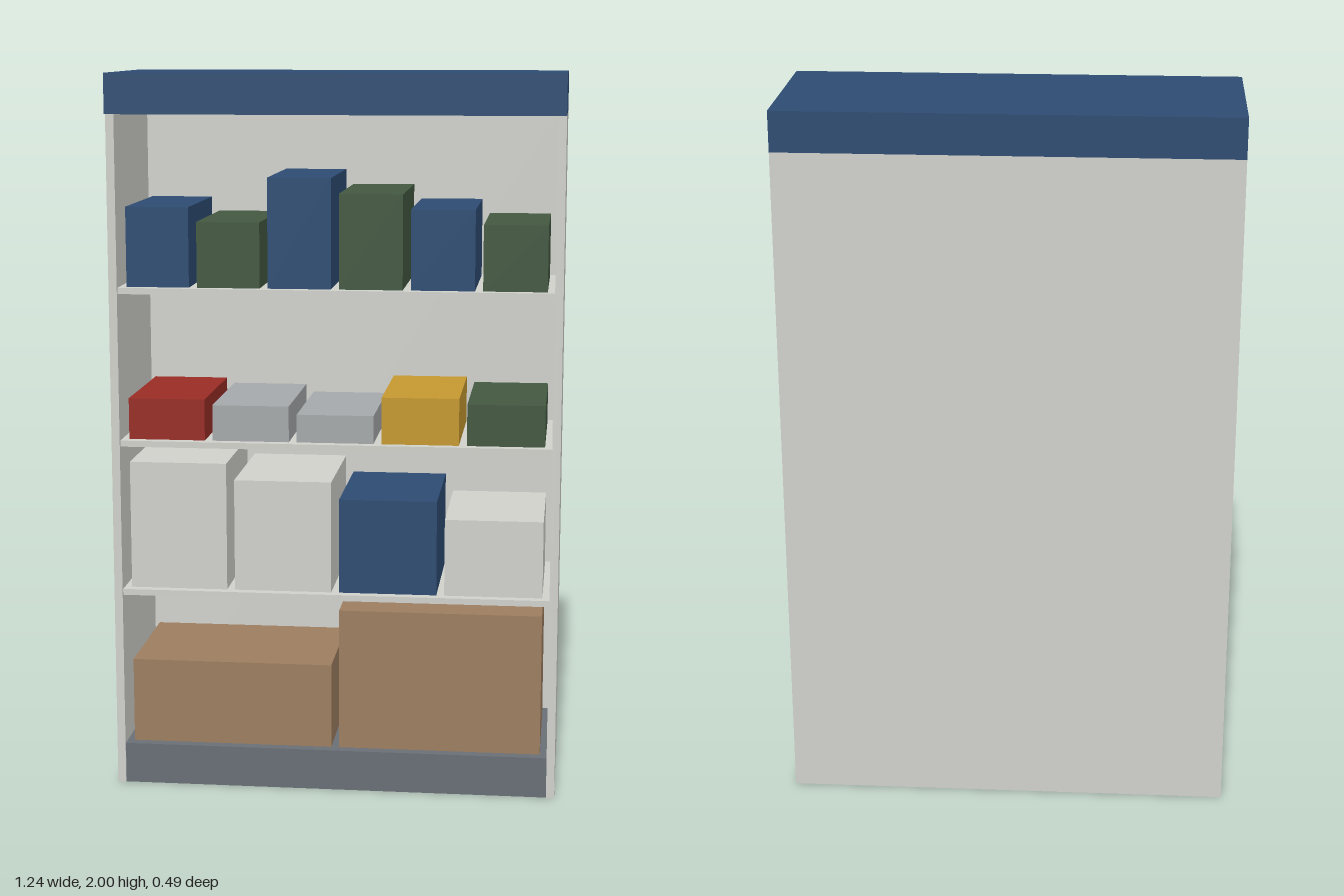
import * as THREE from 'three';

const mat = (name, color) => {
  const m = new THREE.MeshStandardMaterial({ color });
  m.name = name;
  return m;
};

export function createModel() {
  const panel = mat('light grey panel', 0xd0d0cb);
  const blue = mat('navy blue', 0x2d4c72);
  const green = mat('dark green', 0x425840);
  const red = mat('red', 0x982c25);
  const grey = mat('mid grey', 0xa5a8aa);
  const yellow = mat('mustard yellow', 0xc4982f);
  const brown = mat('cardboard brown', 0x9c7e5f);
  const slate = mat('slate grey', 0x696f75);

  const model = new THREE.Group();
  model.name = 'stockedShelfUnit';

  // Box given by its min and max extents
  const box = (parent, name, material, [x0, x1], [y0, y1], [z0, z1]) => {
    const mesh = new THREE.Mesh(new THREE.BoxGeometry(x1 - x0, y1 - y0, z1 - z0), material);
    mesh.position.set((x0 + x1) / 2, (y0 + y1) / 2, (z0 + z1) / 2);
    mesh.name = name;
    parent.add(mesh);
  };

  // Carcass
  const inner = [-0.597, 0.597];
  box(model, 'rightSidePanel', panel, [-0.62, -0.597], [0, 1.89], [-0.245, 0.23]);
  box(model, 'leftSidePanel', panel, [0.597, 0.62], [0, 1.89], [-0.245, 0.23]);
  box(model, 'backPanel', panel, inner, [0, 1.89], [-0.245, -0.225]);
  box(model, 'plinth', slate, inner, [0, 0.115], [-0.225, 0.225]);
  box(model, 'headerCap', blue, [-0.62, 0.62], [1.89, 2], [-0.245, 0.245]);

  // Shelves
  for (const top of [0.567, 0.992, 1.418]) {
    box(model, 'shelf', panel, inner, [top - 0.017, top], [-0.225, 0.222]);
  }

  // Stock rows: base height, then colour and height of each carton
  const rows = [
    ['largeCartons', 0.115, [[brown, 0.24], [brown, 0.4]]],
    ['mediumCartons', 0.567, [[panel, 0.36], [panel, 0.314], [blue, 0.266], [panel, 0.216]]],
    ['flatCartons', 0.992, [[red, 0.115], [grey, 0.1], [grey, 0.078], [yellow, 0.13], [green, 0.115]]],
    ['tallCartons', 1.418, [[blue, 0.22], [green, 0.18], [blue, 0.302], [green, 0.26], [blue, 0.22], [green, 0.18]]],
  ];
  const start = -0.577, gap = 0.022;
  for (const [name, base, items] of rows) {
    const row = new THREE.Group();
    row.name = name;
    const width = (-2 * start - gap * (items.length - 1)) / items.length;
    items.forEach(([material, height], i) => {
      const x = start + i * (width + gap);
      box(row, 'carton', material, [x, x + width], [base, base + height], [-0.19, 0.195]);
    });
    model.add(row);
  }
  return model;
}
